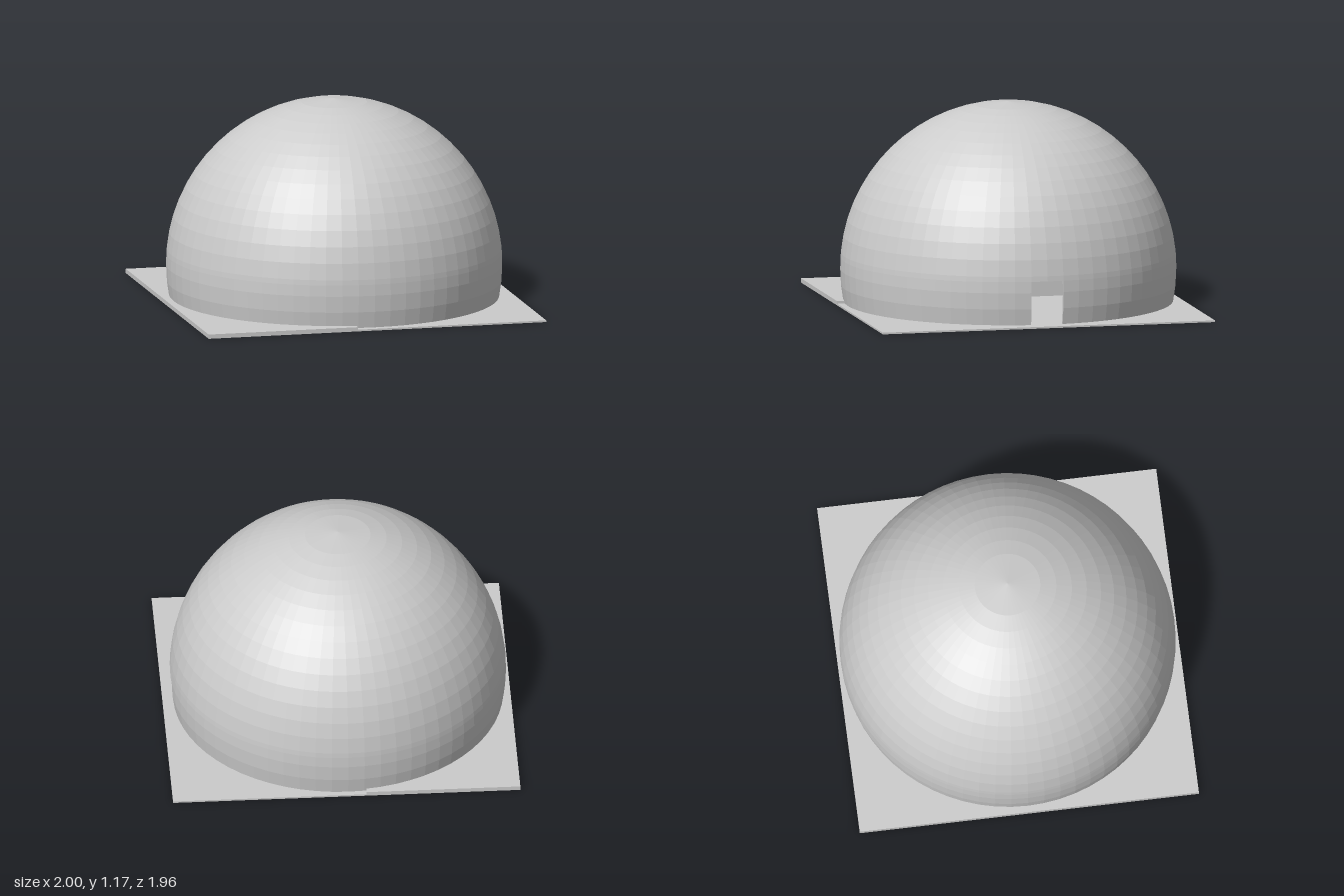
import * as THREE from 'three';

const R = 0.967, THICK = 0.015, CY = 0.2;   // dome radius, shell thickness, centre height
const CX = -0.01, CZ = -0.004;              // dome centre on the base
const STEP = Math.PI / 32;                  // angle of one dome facet
const LINTEL = Math.asin(0.065 / R);        // elevation of the door top

const material = new THREE.MeshStandardMaterial({ color: 0xcccccc, flatShading: true, side: THREE.DoubleSide });

function add(parent, name, geometry, x = 0, y = 0, z = 0) {
  const mesh = new THREE.Mesh(geometry, material);
  mesh.name = name;
  mesh.position.set(x, y, z);
  parent.add(mesh);
  return mesh;
}

// Points of a circular arc through the given elevations
const arc = (radius, angles) =>
  angles.map(a => new THREE.Vector2(radius * Math.cos(a), CY + radius * Math.sin(a)));

// Closed wall section: up the outside, down the inside
function wallSection(angles, closed) {
  const outer = arc(R, angles);
  const inner = arc(R - THICK, angles).reverse();
  return closed ? [...outer, ...inner, outer[0].clone()] : [...outer, ...inner];
}

export function createModel() {
  const model = new THREE.Group();

  // Ground plate with a raised half
  add(model, 'basePlate', new THREE.BoxGeometry(2, 0.01, 1.964), 0, 0.005, 0);
  add(model, 'raisedFloor', new THREE.BoxGeometry(0.885, 0.015, 1.964), -0.5575, 0.0175, 0);

  const dome = new THREE.Group();
  dome.name = 'dome';
  dome.position.set(CX, 0, CZ);
  model.add(dome);

  // Lower wall, left open at the door on the +x side
  const low = [-2 * STEP, -STEP, 0, LINTEL];
  const start = Math.PI / 2 + STEP / 1;
  const section = wallSection(low, true);
  add(dome, 'lowerWall', new THREE.LatheGeometry(section, 62, start, Math.PI * 2 - 2 * STEP));

  // Door jambs close the cut ends of the wall
  for (const side of [-1, 1]) {
    const jamb = add(dome, 'doorJamb', new THREE.ShapeGeometry(new THREE.Shape(section)));
    jamb.rotation.y = side * STEP;
  }

  // Upper shell, ending in a shallow cap
  const high = [LINTEL];
  for (let k = 1; k <= 14; k++) high.push(k * STEP);
  const shell = wallSection(high, false);
  shell.splice(high.length, 0, new THREE.Vector2(0, 1.17), new THREE.Vector2(0, 1.17 - THICK));
  shell.push(shell[0].clone());
  add(dome, 'upperShell', new THREE.LatheGeometry(shell, 64, start, Math.PI * 2));

  // Inner partition with a keyhole-shaped passage
  const inside = R - THICK;
  const wall = new THREE.Shape();
  wall.absarc(0, CY, inside, -0.19, Math.PI + 0.19, false);
  wall.lineTo(-0.065, 0.02);
  wall.lineTo(-0.065, 0.04);
  wall.absarc(0, 0.115, 0.098, Math.PI + 0.86, -0.86, true);
  wall.lineTo(0.065, 0.02);
  wall.closePath();
  const partition = add(dome, 'partition',
    new THREE.ExtrudeGeometry(wall, { depth: 0.015, bevelEnabled: false, curveSegments: 32 }), -0.1, 0, 0);
  partition.rotation.y = Math.PI / 2;
  partition.scale.set(0.985, 0.985, 1);

  return model;
}
